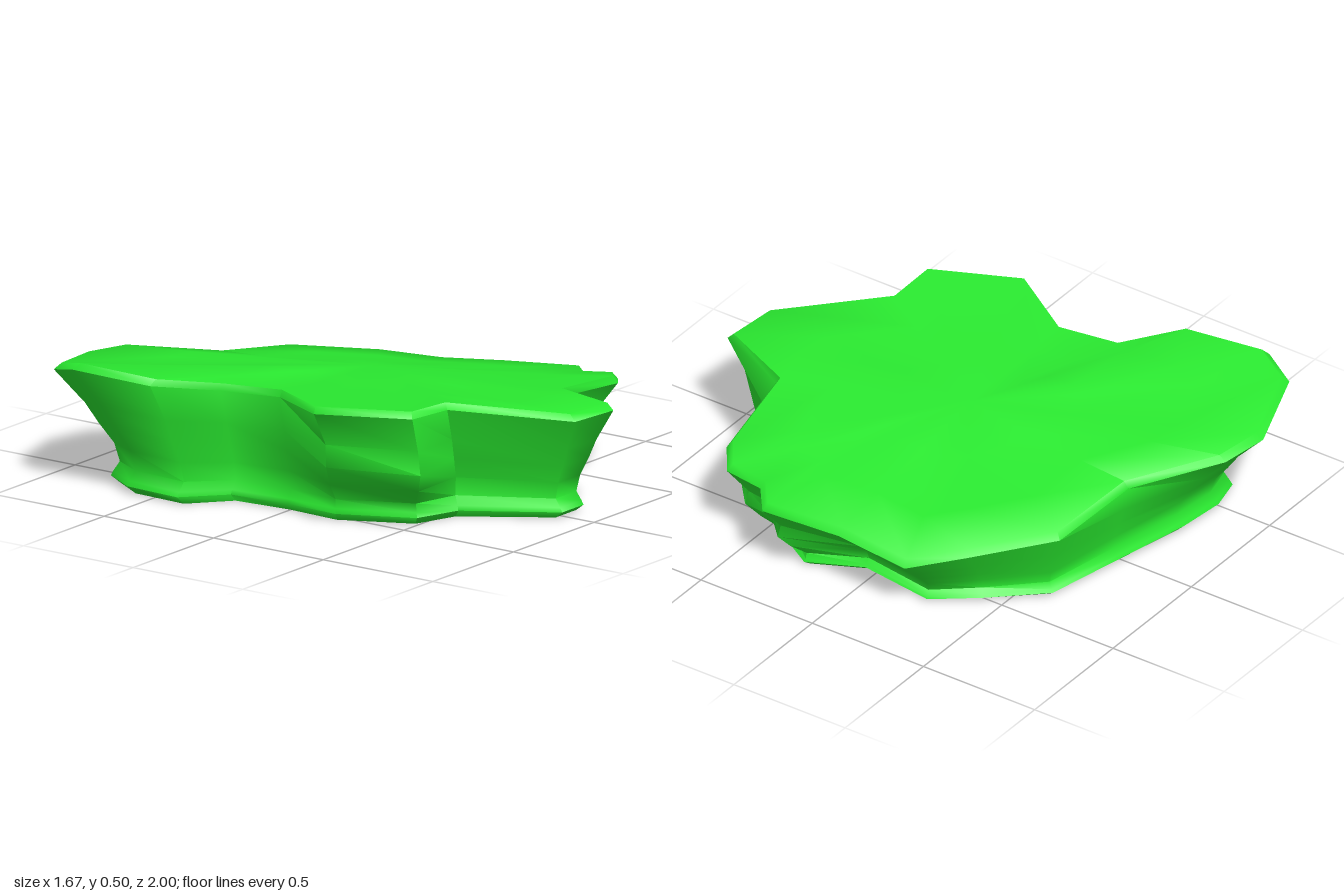
import * as THREE from 'three';
import { toCreasedNormals } from 'three/addons/utils/BufferGeometryUtils.js';

// Clockwise from the back, one row per corner: rim x, y, z, then foot x, z
const CORNERS = [
  [-0.46, 0.40, -1.0, -0.47, -0.77], [-0.27, 0.39, -0.965, -0.28, -0.75],
  [0.02, 0.34, -0.73, 0.03, -0.68], [0.385, 0.29, -0.68, 0.34, -0.61],
  [0.63, 0.255, -0.44, 0.51, -0.42], [0.78, 0.22, -0.26, 0.63, -0.26],
  [0.785, 0.255, 0.03, 0.59, 0.04], [0.835, 0.275, 0.34, 0.69, 0.24],
  [0.735, 0.29, 0.42, 0.63, 0.34], [0.735, 0.31, 0.57, 0.61, 0.41],
  [0.63, 0.33, 0.645, 0.51, 0.47], [0.24, 0.38, 0.70, 0.28, 0.57],
  [0.12, 0.40, 1.0, 0.10, 0.86], [-0.09, 0.40, 0.98, -0.03, 0.86],
  [-0.38, 0.45, 0.61, -0.24, 0.55], [-0.59, 0.46, 0.605, -0.41, 0.49],
  [-0.745, 0.46, 0.27, -0.54, 0.22], [-0.575, 0.44, -0.01, -0.53, 0.0],
  [-0.62, 0.435, -0.25, -0.55, -0.24], [-0.81, 0.465, -0.43, -0.70, -0.37],
  [-0.84, 0.48, -0.76, -0.69, -0.60], [-0.775, 0.445, -0.895, -0.60, -0.74],
];
// Ledges bulging out halfway up, by corner: x, z
const LEDGES = {
  7: [0.78, 0.31], 8: [0.69, 0.40], 9: [0.69, 0.52], 10: [0.60, 0.60],
  11: [0.35, 0.68], 15: [-0.56, 0.62], 16: [-0.67, 0.27],
};
const CENTRE_Y = 0.435;

// Top rings: share of the rim radius, and height above the straight line to the rim
const TOP = [[0.35, 0.004], [0.7, 0.012], [0.975, 0.025], [1, 0]];
// Side rings: share of the rim height, blend from foot to rim, outward scale, pull towards a ledge
const SIDE = [[0.7, 0.5, 1, 0.6], [0.52, 0.28, 1, 1], [0.34, 0.05, 0.995, 0.55],
  [0.18, 0, 0.985, 0.1], [0.1, 0, 1.01, 0], [0.06, 0, 1.02, 0], [0, 0, 0.985, 0]];

const mix = THREE.MathUtils.lerp;

function sidePoint([x, y, z, fx, fz], i, [h, t, s, pull]) {
  const px = mix(fx, x, t) * s, pz = mix(fz, z, t) * s;
  const [lx, lz] = LEDGES[i] ?? [px, pz];
  return [mix(px, lx, pull), y * h, mix(pz, lz, pull)];
}

function slabGeometry() {
  const n = CORNERS.length;
  const rings = [
    ...TOP.map(([k, lift]) => CORNERS.map(([x, y, z]) =>
      [x * k, mix(CENTRE_Y, y, k) + lift, z * k])),
    ...SIDE.map((level) => CORNERS.map((corner, i) => sidePoint(corner, i, level))),
  ];
  const positions = rings.flat(2);
  const index = [];

  // Skin between neighbouring rings
  for (let r = 0; r < rings.length - 1; r++) {
    for (let i = 0; i < n; i++) {
      const j = (i + 1) % n;
      const a = r * n + i, b = r * n + j, c = a + n, d = b + n;
      index.push(a, b, c, b, d, c);
    }
  }

  // Close the top and the flat underside with fans
  const top = positions.length / 3, bottom = top + 1;
  positions.push(0, CENTRE_Y, 0, 0, 0, 0);
  const last = (rings.length - 1) * n;
  for (let i = 0; i < n; i++) {
    const j = (i + 1) % n;
    index.push(top, j, i, bottom, last + i, last + j);
  }

  const geometry = new THREE.BufferGeometry();
  geometry.setAttribute('position', new THREE.Float32BufferAttribute(positions, 3));
  geometry.setIndex(index);
  return toCreasedNormals(geometry, 0.95);
}

export function createModel() {
  const group = new THREE.Group();
  group.name = 'rockSlab';
  const slab = new THREE.Mesh(slabGeometry(), new THREE.MeshStandardMaterial({ color: 0x2aea30 }));
  slab.name = 'slab';
  group.add(slab);
  return group;
}
